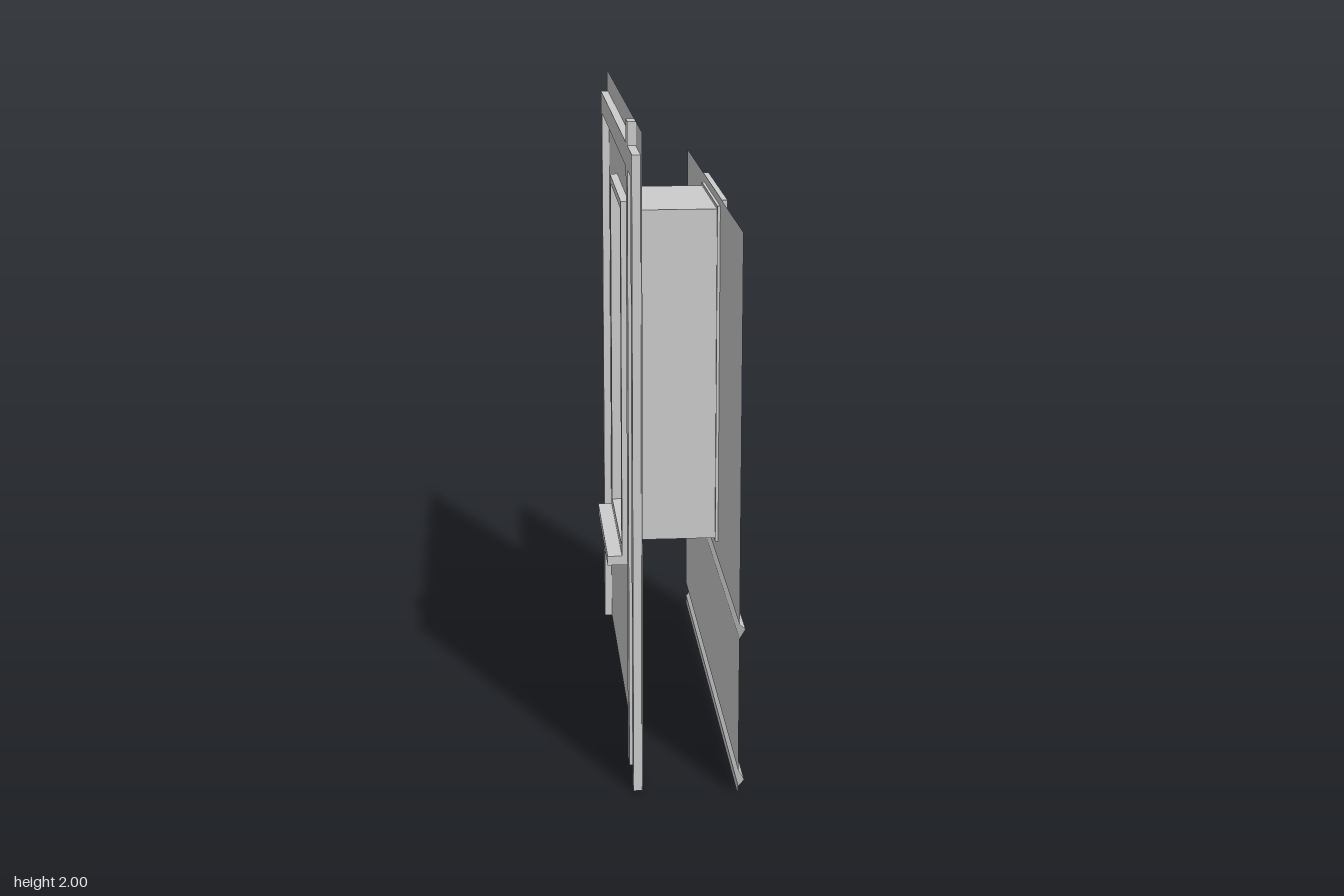
import * as THREE from 'three';

const mat = new THREE.MeshStandardMaterial({ color: 0xcccccc, side: THREE.DoubleSide });
const HALF = 0.857; // half length of the wall along z
const OUT = -0.117, IN = 0.169; // planes of the two wall skins

// outlines are given as [z, y] and turned to face +x
const vec = (pts) => pts.map(([z, y]) => new THREE.Vector2(-z, y));
const rect = (z0, z1, y0, y1) => [[z0, y0], [z0, y1], [z1, y1], [z1, y0]];

function outline(pts, holes = []) {
  const shape = new THREE.Shape(vec(pts));
  holes.forEach((h) => shape.holes.push(new THREE.Path(vec(h))));
  return shape;
}

// flat sheet at x
function sheet(x, pts, holes) {
  return new THREE.ShapeGeometry(outline(pts, holes)).rotateY(Math.PI / 2).translate(x, 0, 0);
}

// solid slab from x0 to x1
function slab(x0, x1, pts, holes) {
  return new THREE.ExtrudeGeometry(outline(pts, holes), { depth: x1 - x0, bevelEnabled: false })
    .rotateY(Math.PI / 2).translate(x0, 0, 0);
}

// slab with one cap left off: keeps the cap at x0, or at x1 when keepHigh is set
function tray(x0, x1, pts, keepHigh = false) {
  const geo = slab(x0, x1, pts);
  const caps = geo.groups[0].count;
  const from = keepHigh ? 0 : caps / 2;
  const all = [...Array(geo.attributes.position.count).keys()];
  geo.setIndex(all.filter((i) => i < from || i >= from + caps / 2));
  geo.clearGroups();
  return geo;
}

// folded strip: a profile of [x, y] points, top to bottom, swept along z
function folded(profile) {
  const pos = [];
  for (let i = 0; i < profile.length - 1; i++) {
    const [a, b] = [profile[i], profile[i + 1]];
    const A = [...a, HALF], B = [...b, HALF], C = [...b, -HALF], D = [...a, -HALF];
    pos.push(...A, ...B, ...C, ...A, ...C, ...D);
  }
  const geo = new THREE.BufferGeometry();
  geo.setAttribute('position', new THREE.Float32BufferAttribute(pos, 3));
  geo.computeVertexNormals();
  return geo;
}

export function createModel() {
  const model = new THREE.Group();
  model.name = 'wallSection';
  const add = (name, geo) => {
    const mesh = new THREE.Mesh(geo, mat);
    mesh.name = name;
    model.add(mesh);
  };

  const opening = rect(-0.247, 0.247, 0.603, 1.69);
  const frame = rect(-0.285, 0.285, 0.575, 1.715);
  const postHole = rect(0.54, 0.61, 1.86, 1.93);

  // outer skin, notched behind the trim on one side
  add('outerWall', sheet(OUT, [
    [HALF, 0], [HALF, 2], [-HALF, 2], [-HALF, 0], [-0.8, 0], [-0.8, 1.93],
    [0.29, 1.93], [0.29, 1.86], [-0.745, 1.86], [-0.745, 0],
  ], [opening, postHole]));

  // hollow trim on the outside: corner posts with top rail, and one taller post
  add('outerTrim', tray(-0.142, OUT, [
    [-0.8, 0], [-0.8, 1.93], [0.8, 1.93], [0.8, 0],
    [0.745, 0], [0.745, 1.86], [-0.745, 1.86], [-0.745, 0],
  ]));
  add('tallPost', tray(-0.142, OUT, rect(0.54, 0.61, 0, 2)));
  add('postRecess', tray(-0.142, OUT, postHole));

  // inner skin: upper sheet with window opening, then chair rail and baseboard folds
  add('innerWall', sheet(IN, rect(-HALF, HALF, 0.545, 1.715), [rect(-0.247, 0.247, 0.603, 1.69)]));
  add('innerPanelling', folded([
    [IN, 0.545], [0.187, 0.53], [IN, 0.5], [IN, 0.08],
    [0.187, 0.05], [IN, 0.03], [IN, 0],
  ]));

  // window: frames on both faces, shallow recessed panes, shaft between, outer sill
  add('outerWindowFrame', slab(-0.142, OUT, frame, [opening]));
  add('innerWindowFrame', slab(IN, 0.187, frame, [opening]));
  add('outerPane', tray(OUT, -0.107, opening, true));
  add('innerPane', tray(0.16, IN, opening));
  add('windowShaft', slab(-0.107, 0.16, rect(-0.238, 0.238, 0.613, 1.68)));
  add('windowSill', slab(-0.188, OUT, rect(-0.285, 0.285, 0.545, 0.575)));

  return model;
}
